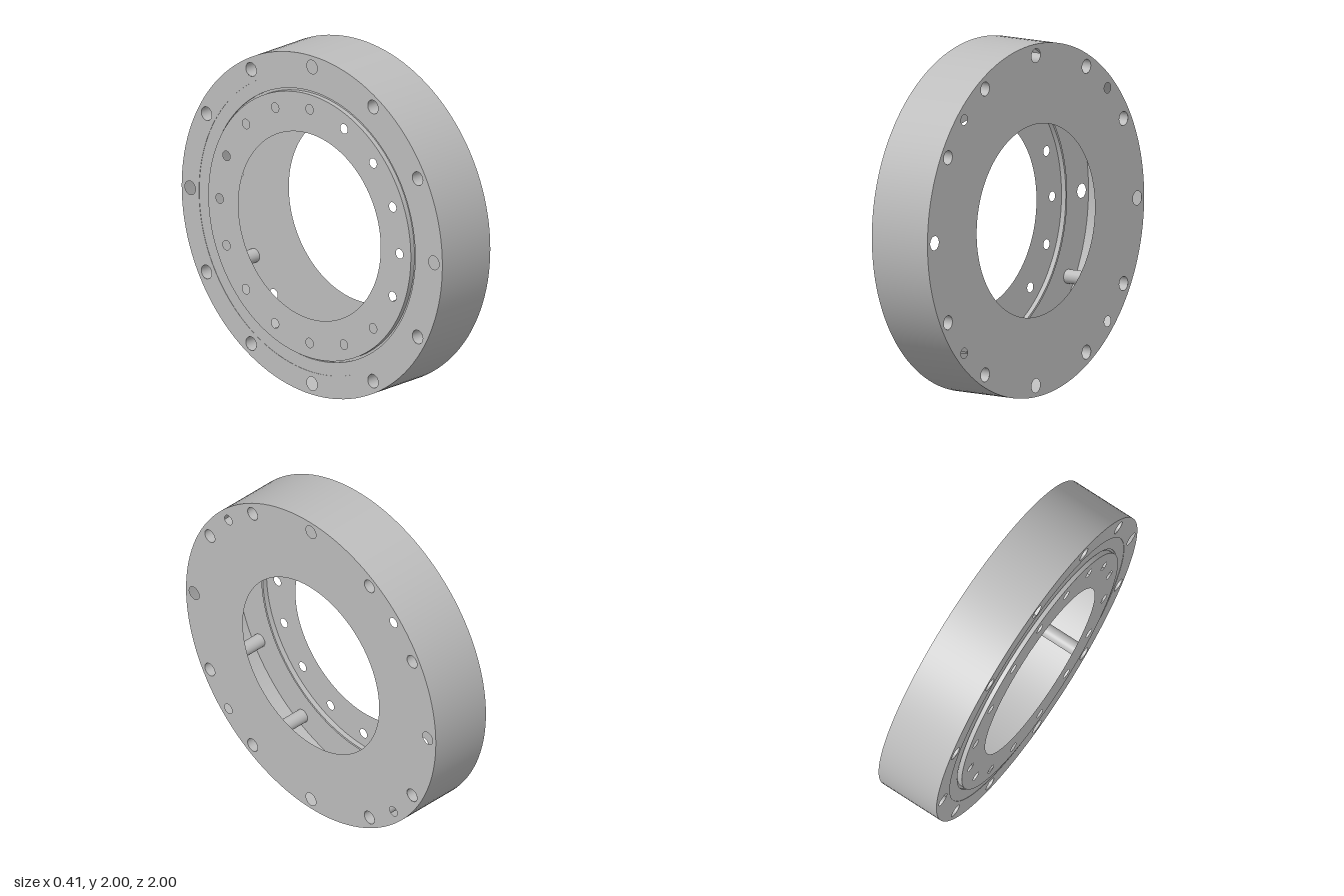
import * as THREE from 'three';

const RIGHT = 0.205, BACK = -0.185, RAISED = -0.205, GROOVE = -0.175;
const SEG = 128;

export function createModel() {
  const group = new THREE.Group();
  const grey = new THREE.MeshStandardMaterial({ color: 0xbdbdbd, side: THREE.DoubleSide });
  grey.name = 'grey metal';

  const add = (name, geometry) => {
    const mesh = new THREE.Mesh(geometry, grey);
    mesh.name = name;
    group.add(mesh);
  };

  // Evenly spaced hole positions around the axis
  const circle = (count, distance, radius, start = 0) =>
    Array.from({ length: count }, (_, i) => {
      const a = start + (i / count) * Math.PI * 2;
      return { u: Math.cos(a) * distance, v: Math.sin(a) * distance, radius };
    });

  // Flat ring across the x axis, facing +x (dir 1) or -x (dir -1)
  const plate = (name, x, outer, inner, dir, holes = []) => {
    const shape = new THREE.Shape().absarc(0, 0, outer, 0, Math.PI * 2);
    for (const h of [{ u: 0, v: 0, radius: inner }, ...holes]) {
      shape.holes.push(new THREE.Path().absarc(h.u, h.v, h.radius, 0, Math.PI * 2, true));
    }
    add(name, new THREE.ShapeGeometry(shape, SEG / 2)
      .rotateY(dir * Math.PI / 2).translate(x, 1, 0));
  };

  // Open cylindrical wall along the x axis
  const wall = (name, x0, x1, radius, y = 0, z = 0, seg = SEG) =>
    add(name, new THREE.CylinderGeometry(radius, radius, x1 - x0, seg, 1, true)
      .rotateZ(Math.PI / 2).translate((x0 + x1) / 2, 1 + y, z));

  const bolts = circle(12, 0.935, 0.04);
  const pinHoles = circle(4, 0.935, 0.03, Math.PI / 4);
  const flangeHoles = circle(16, 0.69, 0.028);

  // Hollow housing, open at the bore
  wall('outerWall', BACK, RIGHT, 1);
  plate('rightFace', RIGHT, 1, 0.546, 1, [...bolts, ...pinHoles]);
  plate('leftOuterFace', BACK, 1, 0.867, -1, bolts);
  plate('leftMiddleFace', BACK + 0.002, 0.867, 0.79, -1);
  wall('middleStep', BACK, BACK + 0.002, 0.867);

  // Narrow groove around the raised flange
  wall('grooveOuterWall', BACK + 0.002, GROOVE, 0.79);
  plate('grooveFloor', GROOVE, 0.79, 0.777, -1);
  wall('flangeRim', RAISED, GROOVE, 0.777);
  plate('raisedFlange', RAISED, 0.777, 0.546, -1, flangeHoles);

  // Bolt sleeves, except at the four axis positions
  bolts.forEach((h, i) => {
    if (i % 3) wall('boltSleeve', BACK, RIGHT, h.radius, h.v, h.u, 32);
  });

  return group;
}
